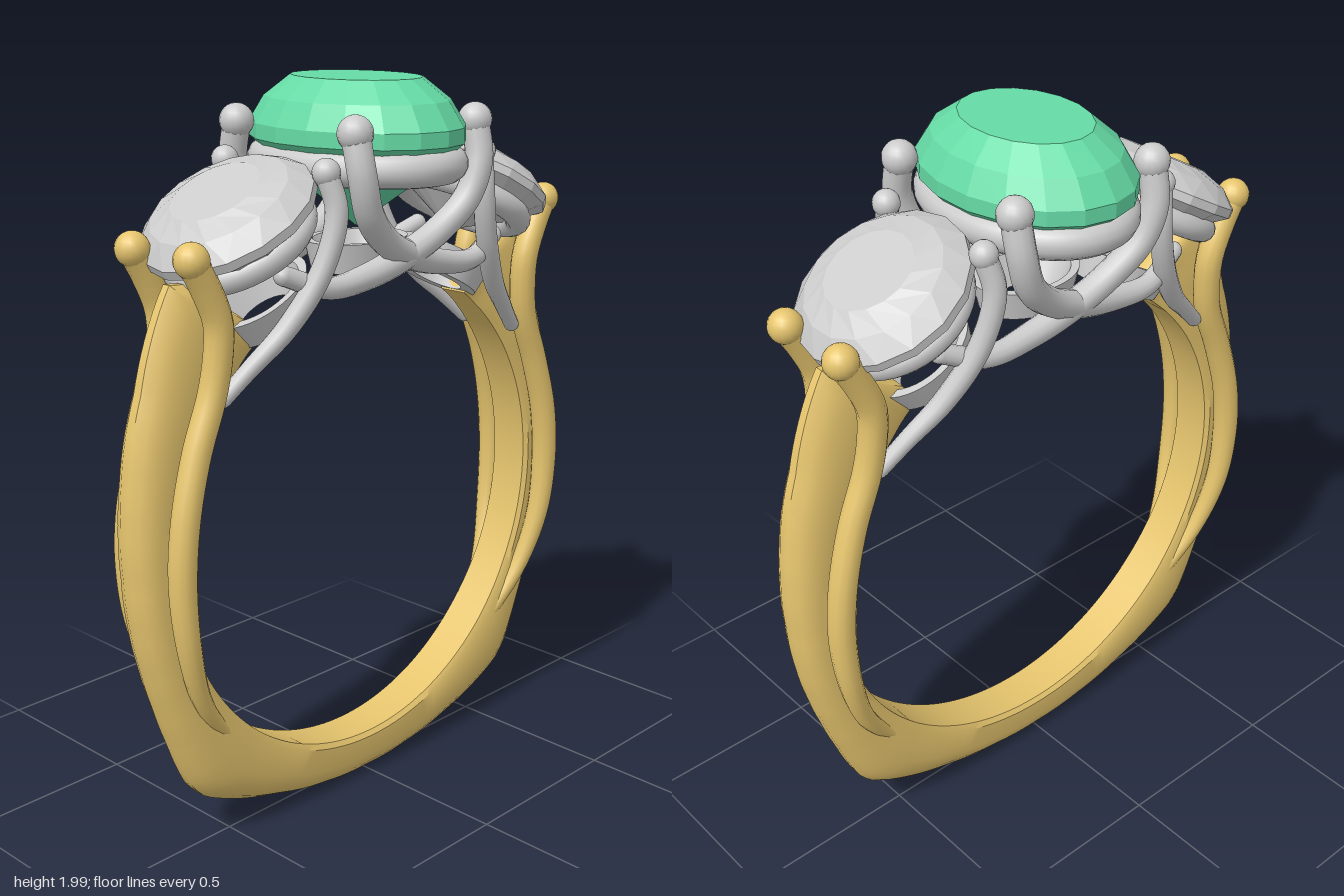
import * as THREE from 'three';
import { toCreasedNormals } from 'three/addons/utils/BufferGeometryUtils.js';

const grey = new THREE.MeshStandardMaterial({ color: 0xcccccc, side: THREE.DoubleSide });
const gold = new THREE.MeshStandardMaterial({ color: 0xe6c56e, side: THREE.DoubleSide });
const stoneGrey = new THREE.MeshStandardMaterial({ color: 0xcccccc, flatShading: true });
const green = new THREE.MeshStandardMaterial({ color: 0x66dba6, flatShading: true });
const CY = 0.82, R = 0.68; // finger hole centre height and radius

function add(parent, name, geometry, material) {
  const mesh = new THREE.Mesh(geometry, material);
  mesh.name = name;
  parent.add(mesh);
  return mesh;
}

// Linear lookup in a table of [key, value, ...] rows
function lookup(rows, key, col) {
  for (let i = 1; i < rows.length; i++) {
    const a = rows[i - 1], b = rows[i];
    if (key <= b[0]) return THREE.MathUtils.lerp(a[col], b[col], (key - a[0]) / (b[0] - a[0]));
  }
  return rows[rows.length - 1][col];
}

// Round wire with a ball at its start and a radius that changes towards its end
function wire(parent, name, pts, r0, r1, material, ball) {
  const curve = new THREE.CatmullRomCurve3(pts.map(p => new THREE.Vector3(...p)));
  const steps = 48, sides = 12;
  const geo = new THREE.TubeGeometry(curve, steps, 1, sides);
  const pos = geo.attributes.position, v = new THREE.Vector3();
  for (let i = 0; i <= steps; i++) {
    const t = i / steps, c = curve.getPointAt(t);
    const r = THREE.MathUtils.lerp(r0, r1, THREE.MathUtils.smoothstep(t, 0.5, 1));
    for (let j = 0; j <= sides; j++) {
      const k = i * (sides + 1) + j;
      v.fromBufferAttribute(pos, k).sub(c).multiplyScalar(r).add(c);
      pos.setXYZ(k, v.x, v.y, v.z);
    }
  }
  add(parent, name, geo, material);
  add(parent, name + 'Tip', new THREE.SphereGeometry(ball, 16, 12), material).position.set(...pts[0]);
  add(parent, name + 'End', new THREE.SphereGeometry(r1, 12, 8), material).position.set(...pts[pts.length - 1]);
}

// Shank: D-shaped section swept around the hole; rows are angle from bottom, outer radius, half width
function shankGeometry() {
  const rows = [[0, 0.81, 0.07], [12, 0.818, 0.07], [25, 0.842, 0.07], [37, 0.882, 0.07], [41.5, 0.898, 0.07],
    [45.5, 0.894, 0.07], [55, 0.85, 0.068], [63, 0.826, 0.066], [71, 0.813, 0.066], [80, 0.808, 0.066],
    [90, 0.81, 0.066], [100, 0.825, 0.066], [108, 0.844, 0.065], [122, 0.89, 0.062], [135, 0.962, 0.055],
    [139, 0.982, 0.05], [144, 0.78, 0.05]];
  const half = [[0, 0.85], [0.1, 1], [0.55, 1], [0.75, 0.9], [0.9, 0.65], [1, 0.22]];
  const section = [...half, ...half.map(([f, w]) => [f, -w]).reverse()];
  const n = section.length, steps = 144, verts = [], index = [];
  for (let i = 0; i <= steps; i++) {
    const deg = -144 + (288 * i) / steps, a = THREE.MathUtils.degToRad(deg);
    const outer = lookup(rows, Math.abs(deg), 1), w = lookup(rows, Math.abs(deg), 2);
    for (const [f, z] of section) {
      const r = R + (outer - R) * f;
      verts.push(Math.sin(a) * r, CY - Math.cos(a) * r, z * w);
    }
    if (i === steps) break;
    for (let j = 0; j < n; j++) {
      const p = i * n + j, q = i * n + ((j + 1) % n);
      index.push(p, p + n, q, q, p + n, q + n);
    }
  }
  const last = steps * n; // end caps
  for (let j = 1; j < n - 1; j++) index.push(0, j, j + 1, last, last + j + 1, last + j);
  const geo = new THREE.BufferGeometry();
  geo.setAttribute('position', new THREE.Float32BufferAttribute(verts, 3));
  geo.setIndex(index);
  return toCreasedNormals(geo, 0.6);
}

// Faceted gem from [radius, height] rings, alternate rings turned by half a facet
function gemGeometry(rings, sides) {
  const verts = [], index = [];
  rings.forEach(([r, y, turn]) => {
    for (let j = 0; j < sides; j++) {
      const a = ((j + turn) / sides) * Math.PI * 2;
      verts.push(r * Math.sin(a), y, r * Math.cos(a));
    }
  });
  for (let i = 0; i < rings.length - 1; i++) for (let j = 0; j < sides; j++) {
    const k = (j + 1) % sides, p = i * sides, q = p + sides;
    index.push(p + j, p + k, q + j, p + k, q + k, q + j);
  }
  const top = (rings.length - 1) * sides;
  for (let j = 1; j < sides - 1; j++) index.push(top, top + j, top + j + 1);
  const geo = new THREE.BufferGeometry();
  geo.setAttribute('position', new THREE.Float32BufferAttribute(verts, 3));
  geo.setIndex(index);
  const flat = geo.toNonIndexed();
  flat.computeVertexNormals();
  return flat;
}

function torus(radius, tube) {
  return new THREE.TorusGeometry(radius, tube, 14, 48).rotateX(Math.PI / 2);
}

export function createModel() {
  const model = new THREE.Group();
  model.name = 'threeStoneRing';
  add(model, 'shank', shankGeometry(), gold);

  // Oval centre stone and its seat
  add(model, 'centreStone', gemGeometry([[0.01, 1.61, 0], [0.6, 1.74, 0], [1, 1.84, 0], [1, 1.88, 0],
    [0.86, 1.945, 0], [0.61, 2, 0]], 18).scale(0.24, 1, 0.32), green);
  const seat = add(model, 'centreSeat', torus(1, 1), grey);
  seat.geometry.dispose();
  const oval = new THREE.CatmullRomCurve3(Array.from({ length: 24 }, (_, i) => {
    const a = (i / 24) * Math.PI * 2;
    return new THREE.Vector3(0.2 * Math.cos(a), 1.785, 0.28 * Math.sin(a));
  }), true);
  seat.geometry = new THREE.TubeGeometry(oval, 64, 0.046, 14, true);

  // Oval open cups of the gallery, set around the top of the hole
  const cup = [[0.085, 0], [0.135, 0], [0.155, 0.08], [0.13, 0.08], [0.085, 0]].map(p => new THREE.Vector2(...p));
  for (const a of [-0.5, 0, 0.5]) {
    const geo = toCreasedNormals(new THREE.LatheGeometry(cup, 40).scale(1, 1, 0.78), 0.6);
    const ring = add(model, 'galleryCup', geo, grey);
    ring.position.set(Math.sin(a) * R, CY + Math.cos(a) * R, 0);
    ring.rotation.z = -a;
  }

  for (const s of [-1, 1]) {
    // Tilted round side stone in its seat
    const side = new THREE.Group();
    side.name = 'sideSetting';
    side.position.set(s * 0.455, 1.685, 0);
    side.rotation.z = -s * Math.PI / 6;
    add(side, 'sideStone', gemGeometry([[0.01, -0.15, 0], [0.15, -0.07, 0.5], [0.235, -0.012, 0], [0.235, 0.012, 0],
      [0.185, 0.055, 0.5], [0.12, 0.078, 0]], 16), stoneGrey);
    add(side, 'sideSeat', torus(0.175, 0.036), grey).position.y = -0.065;
    model.add(side);

    for (const f of [-1, 1]) {
      const at = pts => pts.map(([x, y, z]) => [s * x, y, f * z]);
      // Gold wire rising along the shank to a prong
      wire(model, 'shoulderWire', at([[0.665, 1.62, 0.11], [0.625, 1.55, 0.11], [0.588, 1.46, 0.11],
        [0.588, 1.37, 0.105], [0.605, 1.28, 0.1], [0.66, 1.14, 0.1], [0.705, 0.98, 0.105], [0.72, 0.82, 0.105],
        [0.702, 0.64, 0.1], [0.645, 0.47, 0.075], [0.56, 0.35, 0.05], [0.45, 0.265, 0.04]]), 0.038, 0.02, gold, 0.045);
      // Prong holding the inner edge of the side stone
      wire(model, 'sideProng', at([[0.295, 1.795, 0.185], [0.28, 1.7, 0.205], [0.315, 1.56, 0.19],
        [0.4, 1.42, 0.15], [0.49, 1.33, 0.115], [0.56, 1.26, 0.09]]), 0.03, 0.022, grey, 0.036);
      // Centre prong crossing under the stone to the opposite side
      wire(model, 'centreProng', at([[0.225, 1.885, 0.215], [0.22, 1.78, 0.235], [0.185, 1.685, 0.225],
        [0.1, 1.605, 0.2], [0, 1.555, 0.185], [-0.14, 1.515, 0.175], [-0.28, 1.505, 0.17],
        [-0.4, 1.55, 0.14]]), 0.038, 0.026, grey, 0.046);
    }
  }
  return model;
}
